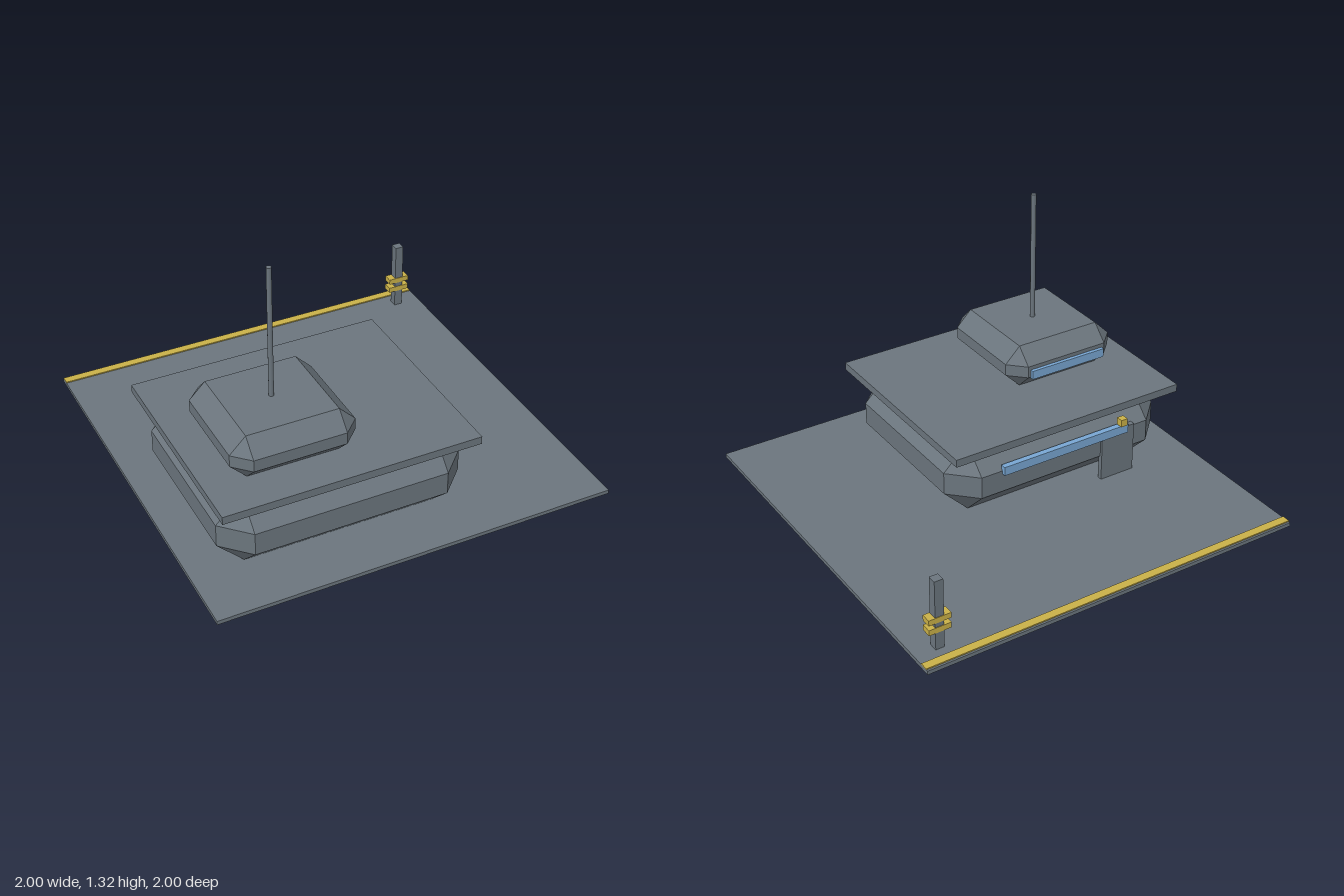
import * as THREE from 'three';
import { ConvexGeometry } from 'three/addons/geometries/ConvexGeometry.js';

const grey = new THREE.MeshStandardMaterial({ color: 0x6b757d });
grey.name = 'hull grey';
const yellow = new THREE.MeshStandardMaterial({ color: 0xc9b048 });
yellow.name = 'warning yellow';
const blue = new THREE.MeshStandardMaterial({ color: 0x78a6d2 });
blue.name = 'window blue';

function add(parent, name, geometry, material, x = 0, y = 0, z = 0) {
  const mesh = new THREE.Mesh(geometry, material);
  mesh.name = name;
  mesh.position.set(x, y, z);
  parent.add(mesh);
  return mesh;
}

// Box given by its extents on each axis
function box(parent, name, material, [x0, x1], [y0, y1], [z0, z1]) {
  return add(parent, name, new THREE.BoxGeometry(x1 - x0, y1 - y0, z1 - z0), material,
    (x0 + x1) / 2, (y0 + y1) / 2, (z0 + z1) / 2);
}

// Box with every edge cut flat by the same bevel
function bevelledBox(w, h, d, bevel) {
  const points = [];
  for (const sx of [-1, 1]) for (const sy of [-1, 1]) for (const sz of [-1, 1]) {
    for (let axis = 0; axis < 3; axis++) {
      const inset = [0, 1, 2].map((i) => (i === axis ? 0 : bevel));
      points.push(new THREE.Vector3(
        sx * (w / 2 - inset[0]), sy * (h / 2 - inset[1]), sz * (d / 2 - inset[2])));
    }
  }
  return new ConvexGeometry(points);
}

export function createModel() {
  const model = new THREE.Group();
  model.name = 'landingPadStation';

  // Pad with a painted edge line
  box(model, 'pad', grey, [-1, 1], [0, 0.02], [-1, 1]);
  box(model, 'padEdgeLine', yellow, [-1, 1], [0.02, 0.026], [-0.99, -0.948]);

  // Main building and its overhanging roof
  add(model, 'mainBuilding', bevelledBox(1.22, 0.375, 1.02, 0.13), grey, -0.255, 0.2075, 0.31);
  box(model, 'roof', grey, [-0.893, 0.38], [0.395, 0.435], [-0.23, 0.842]);
  box(model, 'mainWindow', blue, [-0.61, 0.11], [0.248, 0.294], [-0.22, -0.19]);

  // Entrance at the back with a lamp above
  box(model, 'door', grey, [-0.65, -0.46], [0.02, 0.28], [-0.213, -0.187]);
  box(model, 'doorLamp', yellow, [-0.583, -0.547], [0.31, 0.348], [-0.247, -0.21]);

  // Control cabin with window and antenna
  add(model, 'controlCabin', bevelledBox(0.61, 0.22, 0.61, 0.08), grey, -0.46, 0.545, 0.408);
  box(model, 'cabinWindow', blue, [-0.67, -0.25], [0.51, 0.555], [0.085, 0.115]);
  add(model, 'antenna', new THREE.CylinderGeometry(0.013, 0.013, 0.665, 8), grey, -0.46, 0.9875, 0.408);

  // Corner post with two bands
  box(model, 'post', grey, [0.855, 0.899], [0.02, 0.38], [-0.899, -0.855]);
  for (const y of [0.125, 0.177]) {
    box(model, 'postBand', yellow, [0.82, 0.932], [y - 0.014, y + 0.014], [-0.902, -0.852]);
  }
  return model;
}
